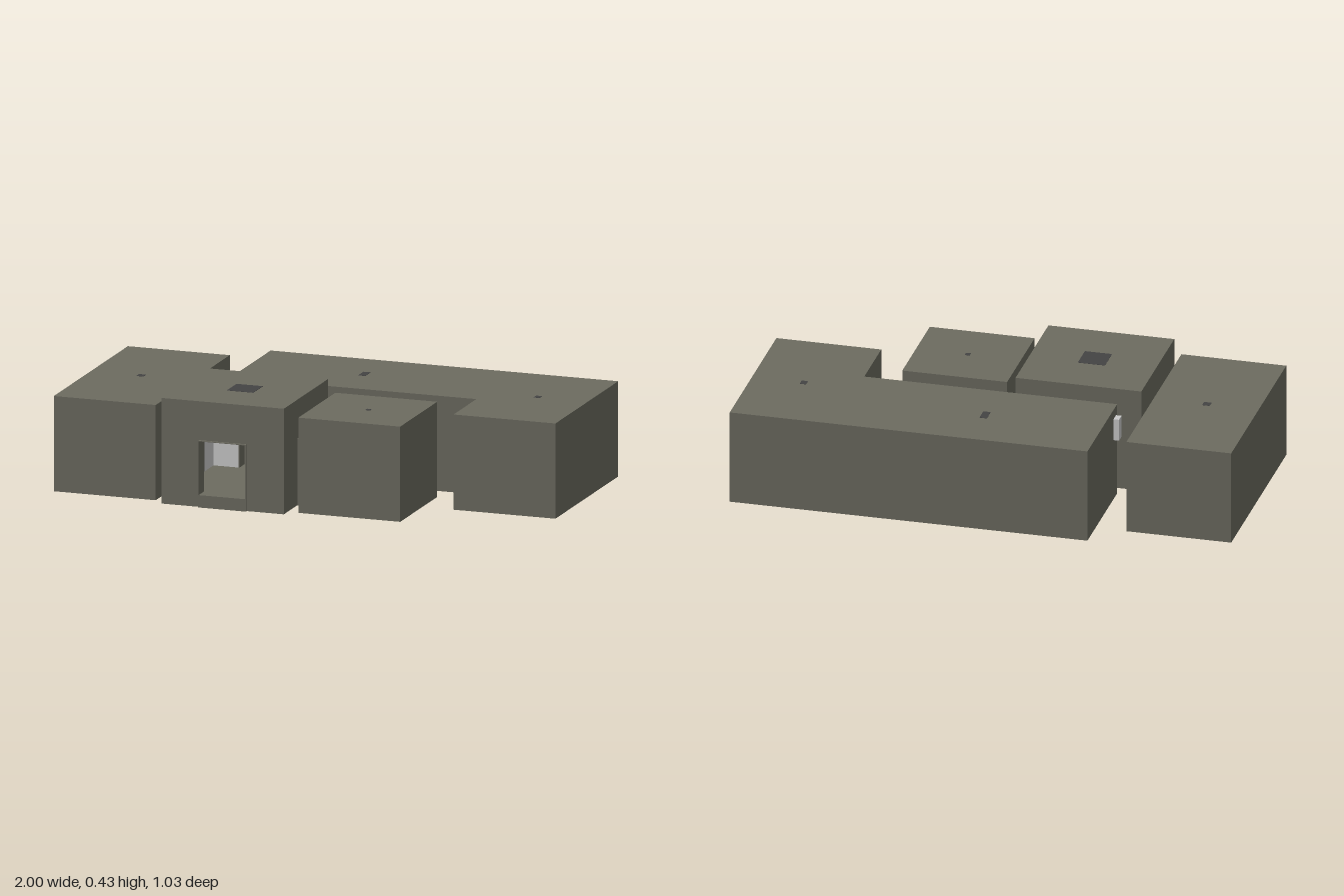
import * as THREE from 'three';

const T = 0.05;        // wall, floor and roof thickness
const LINING = 0.004;  // pale skin on the inner walls
const DOOR_W = 0.2, DOOR_H = 0.27, COLLAR = 0.01;

const olive = new THREE.MeshStandardMaterial({ color: 0x6c6b60 });
const pale = new THREE.MeshStandardMaterial({ color: 0xcccccc });
const dark = new THREE.MeshStandardMaterial({ color: 0x444444 });

const polygon = pts => new THREE.Shape(pts.map(p => new THREE.Vector2(...p)));
const extrude = (shape, depth) => new THREE.ExtrudeGeometry(shape, { depth, bevelEnabled: false });

function add(parent, name, geometry, material, x = 0, y = 0, z = 0) {
  const mesh = new THREE.Mesh(geometry, material);
  mesh.name = name;
  mesh.position.set(x, y, z);
  parent.add(mesh);
  return mesh;
}

// Wall panel from x0 to x1 between floor and roof, notched for a doorway at s
function wallShape(x0, x1, top, s) {
  const pts = [[x0, T]];
  if (s !== undefined) {
    const a = s - DOOR_W / 2, b = s + DOOR_W / 2;
    pts.push([a, T], [a, DOOR_H], [b, DOOR_H], [b, T]);
  }
  pts.push([x1, T], [x1, top], [x0, top]);
  return polygon(pts);
}

// Thin door surround standing slightly proud of the wall, with a sill
function collarShape(s) {
  const a = s - DOOR_W / 2, b = s + DOOR_W / 2, e = 0.003;
  const shape = polygon([[a, 0], [b, 0], [b, DOOR_H], [a, DOOR_H]]);
  shape.holes.push(polygon([[a + e, T], [a + e, DOOR_H - e], [b - e, DOOR_H - e], [b - e, T]]));
  return shape;
}

// outline: [x, z] corners, anticlockwise seen from above, starting at front right
// doors: edge index -> distance along that edge; reflex: index of an inner corner
function room(name, outline, height, doors, hatches, reflex = -1) {
  const group = new THREE.Group();
  group.name = name;
  const slab = extrude(polygon(outline.map(([x, z]) => [x, -z])), T).rotateX(-Math.PI / 2);
  add(group, 'floor', slab, olive);
  add(group, 'roof', slab, olive, 0, height - T);

  outline.forEach(([ax, az], i) => {
    const j = (i + 1) % outline.length;
    const dx = outline[j][0] - ax, dz = outline[j][1] - az;
    const length = Math.hypot(dx, dz);
    const side = new THREE.Group();
    side.name = 'side';
    side.position.set(ax, 0, az);
    side.rotation.y = Math.atan2(-dz, dx);
    group.add(side);

    // walls run on past an inner corner to close it
    const span = t => [i === reflex ? -t : 0, j === reflex ? length + t : length];
    const core = T - LINING, top = height - T, s = doors[i];
    add(side, 'wall', extrude(wallShape(...span(core), top, s), core), olive, 0, 0, -core);
    // the lining stops short of the outer faces at ordinary corners
    const [l0, l1] = span(T);
    const lining = wallShape(l0 < 0 ? l0 : core, l1 > length ? l1 : length - core, top, s);
    add(side, 'wallLining', extrude(lining, LINING), pale, 0, 0, -T);
    if (s !== undefined) {
      add(side, 'doorFrame', extrude(collarShape(s), T + COLLAR), olive, 0, 0, -T);
    }
  });

  // small dark ceiling fittings showing flush in the roof
  for (const [x, z, w, d] of hatches) {
    add(group, 'roofFitting', new THREE.BoxGeometry(w, T, d), dark, x, height - T / 2 + 0.001, z);
  }
  return group;
}

const rect = (x0, x1, z0, z1) => [[x0, z1], [x1, z1], [x1, z0], [x0, z0]];

export function createModel() {
  const model = new THREE.Group();
  model.name = 'roomCluster';

  // Taller entrance room with a doorway in each side
  const mid = 0.255;
  model.add(room('entranceRoom', rect(-0.535, -0.025, -0.005, 0.505), 0.427,
    { 0: mid, 1: mid, 2: mid, 3: mid }, [[-0.28, 0.25, 0.11, 0.11]]));

  // Long room on one side
  model.add(room('longRoom', rect(-1, -0.575, -0.39, 0.463), 0.385,
    { 1: 0.213 }, [[-0.79, 0.035, 0.03, 0.03]]));

  // Small square room on the other side
  model.add(room('smallRoom', rect(0.02, 0.445, 0.037, 0.463), 0.385,
    { 3: 0.213 }, [[0.235, 0.25, 0.02, 0.02]]));

  // L-shaped room at the back
  model.add(room('cornerRoom',
    [[-0.45, -0.055], [0.575, -0.055], [0.575, 0.208], [1, 0.208], [1, -0.515], [-0.45, -0.515]], 0.385,
    { 0: 0.17 }, [[0.025, -0.285, 0.03, 0.06], [0.79, -0.17, 0.025, 0.03]], 1));

  // Small pale unit on the end wall of the back room
  add(model, 'wallUnit', new THREE.BoxGeometry(0.025, 0.09, 0.04), pale, -0.46, 0.3, -0.092);

  return model;
}
